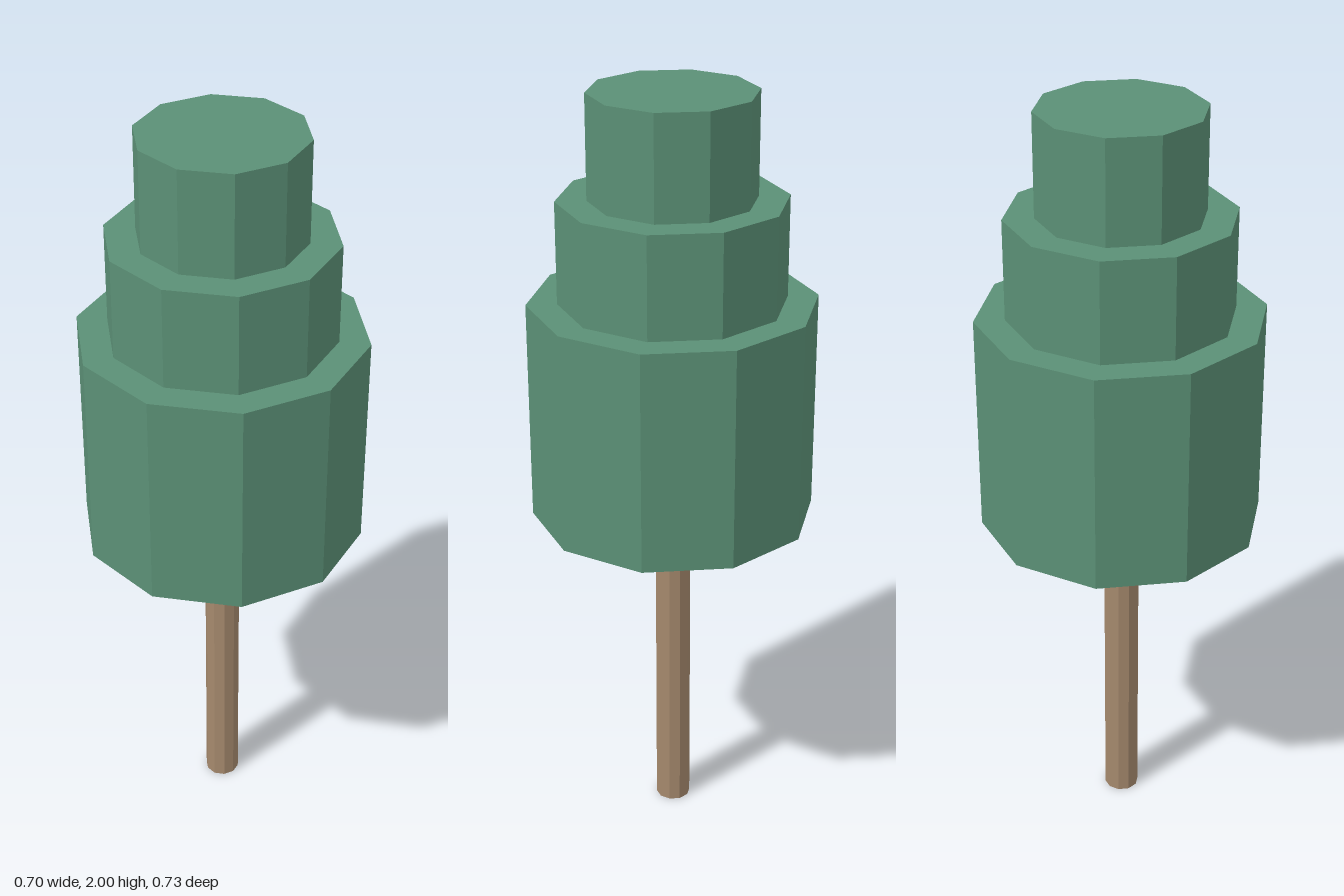
import * as THREE from 'three';

const SIDES = 10;

export function createModel() {
  const group = new THREE.Group();
  group.name = 'tree';

  const leafGreen = new THREE.MeshStandardMaterial({ color: 0x5b9076, flatShading: true });
  leafGreen.name = 'leaf green';
  const barkBrown = new THREE.MeshStandardMaterial({ color: 0xa5896d, flatShading: true });
  barkBrown.name = 'bark brown';

  // Upright ten-sided prism between two heights, with a corner facing front
  function addPrism(name, radius, bottom, top, material) {
    const geometry = new THREE.CylinderGeometry(radius, radius, top - bottom, SIDES);
    const mesh = new THREE.Mesh(geometry, material);
    mesh.name = name;
    mesh.position.y = (bottom + top) / 2;
    group.add(mesh);
  }

  // Slim trunk
  addPrism('trunk', 0.046, 0, 0.92, barkBrown);

  // Stacked foliage tiers, widest at the bottom
  addPrism('lowerFoliage', 0.366, 0.9, 1.475, leafGreen);
  addPrism('middleFoliage', 0.288, 1.475, 1.737, leafGreen);
  addPrism('upperFoliage', 0.21, 1.737, 2, leafGreen);

  return group;
}
